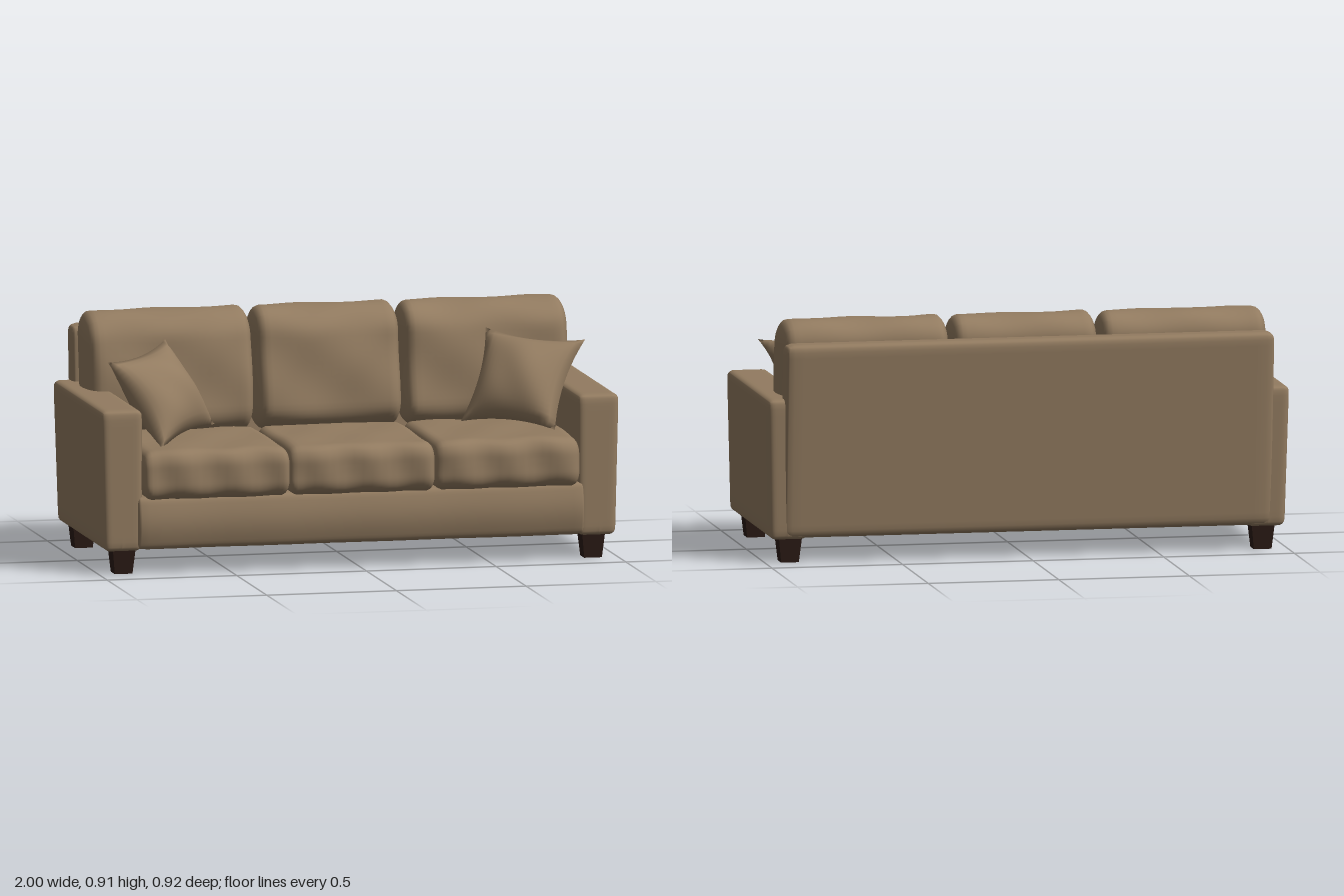
import * as THREE from 'three';
import { mergeVertices } from 'three/addons/utils/BufferGeometryUtils.js';

const fabric = new THREE.MeshStandardMaterial({ color: 0x927b60 });
fabric.name = 'tan fabric';
const wood = new THREE.MeshStandardMaterial({ color: 0x2b1b15 });
wood.name = 'dark wood';

// Move every vertex by a rule, then weld and smooth.
function reshape(geo, rule) {
  geo.deleteAttribute('uv');
  geo.deleteAttribute('normal');
  const pos = geo.attributes.position;
  const p = new THREE.Vector3();
  for (let i = 0; i < pos.count; i++) {
    rule(p.fromBufferAttribute(pos, i));
    pos.setXYZ(i, p.x, p.y, p.z);
  }
  const out = mergeVertices(geo, 1e-5);
  out.computeVertexNormals();
  return out;
}

// Box with elliptical rounded edges; vertices cluster toward the edges.
function softBox(size, radius, seg, rule = () => {}) {
  return reshape(new THREE.BoxGeometry(2, 2, 2, seg, seg, seg), (p) => {
    const inner = new THREE.Vector3();
    const dir = new THREE.Vector3();
    ['x', 'y', 'z'].forEach((k, i) => {
      const half = size[i] / 2;
      const v = Math.sin((p[k] * Math.PI) / 2) * half;
      inner[k] = THREE.MathUtils.clamp(v, radius[i] - half, half - radius[i]);
      dir[k] = (v - inner[k]) / radius[i];
    });
    dir.normalize();
    p.set(inner.x + dir.x * radius[0], inner.y + dir.y * radius[1], inner.z + dir.z * radius[2]);
    rule(p);
  });
}

// Throw pillow spanned by four corners: top left, top right, bottom right, bottom left.
function pillow(corners, thick) {
  const [a, b, c, d] = corners.map((v) => new THREE.Vector3(...v));
  const right = b.clone().sub(a).add(c).sub(d);
  const up = a.clone().sub(d).add(b).sub(c);
  const normal = right.cross(up).normalize();
  return reshape(new THREE.BoxGeometry(2, 2, 2, 18, 18, 1), (p) => {
    const { x, y, z } = p;
    const s = x * (1 - 0.13 * (1 - y * y));
    const t = y * (1 - 0.13 * (1 - x * x));
    const puff = thick * Math.pow(Math.max(0, (1 - x * x) * (1 - y * y)), 0.6);
    const fold = 1 + 0.05 * Math.sin(5 * x + 3 * y);
    p.set(0, 0, 0)
      .addScaledVector(a, ((1 - s) * (1 + t)) / 4)
      .addScaledVector(b, ((1 + s) * (1 + t)) / 4)
      .addScaledVector(c, ((1 + s) * (1 - t)) / 4)
      .addScaledVector(d, ((1 - s) * (1 - t)) / 4)
      .addScaledVector(normal, Math.sign(z) * puff * fold);
  });
}

export function createModel() {
  const sofa = new THREE.Group();
  sofa.name = 'sofa';
  const add = (name, geo, mat, x = 0, y = 0, z = 0) => {
    const mesh = new THREE.Mesh(geo, mat);
    mesh.name = name;
    mesh.position.set(x, y, z);
    sofa.add(mesh);
    return mesh;
  };

  // Base with a slightly padded front rail
  add('base', softBox([1.72, 0.2, 0.8], [0.02, 0.02, 0.02], 20, (p) => {
    if (p.z > 0.3) p.z += 0.022 * Math.cos(p.y * 15) + 0.003 * Math.sin(p.x * 14);
  }), fabric, 0, 0.195, 0.01);

  // Slanted backrest
  add('backrest', softBox([1.87, 0.74, 0.105], [0.03, 0.03, 0.03], 24, (p) => {
    p.z -= 0.08 * p.y;
  }), fabric, 0, 0.465, -0.385);

  for (const side of [-1, 1]) {
    // Arms, narrowing a little toward the floor
    add(side > 0 ? 'leftArm' : 'rightArm',
      softBox([0.16, 0.535, 0.83], [0.025, 0.025, 0.025], 18, (p) => {
        const low = 0.5 - p.y / 0.535;
        if (p.x * side > 0) p.x -= side * 0.013 * low;
        p.z += p.z < 0 ? 0.025 * low : 0.003;
      }), fabric, side * 0.919, 0.3575, -0.012);

    // Tapered square legs
    for (const z of [0.33, -0.333]) {
      const leg = new THREE.CylinderGeometry(0.063, 0.048, 0.1, 4, 1).rotateY(Math.PI / 4).toNonIndexed();
      leg.computeVertexNormals();
      add('leg', leg, wood, side * 0.905, 0.05, z);
    }
  }

  for (const i of [-1, 0, 1]) {
    // Seat cushions: crowned top, bulging creased front
    add('seatCushion', softBox([0.565, 0.185, 0.6], [0.035, 0.06, 0.05], 26, (p) => {
      const crown = Math.cos(p.x * 5) * Math.cos(p.z * 4);
      const wave = Math.sin(p.x * 21 + i * 2) * Math.sin(p.z * 13 + i);
      if (p.y > 0) p.y += 0.008 * crown + 0.004 * wave;
      if (p.z > 0.2) p.z += 0.007 * Math.sin(p.x * 32 + p.y * 12 + i);
    }), fabric, i * 0.56, 0.376, 0.152);

    // Back cushions: leaning, rounded on top, softly wrinkled
    const w = i ? 0.65 : 0.57;
    add('backCushion', softBox([w, 0.46, 0.25], [0.045, 0.1, 0.12], 28, (p) => {
      const fold = Math.sin(p.x * 13 + p.y * 17 + i * 2) + 0.5 * Math.sin(p.x * 24 - p.y * 19);
      const lump = Math.sin(p.x * 18 + i) * Math.sin(p.z * 20);
      if (p.z > 0) p.z += 0.006 * fold + 0.012 * Math.cos(p.x * 5) * Math.cos(p.y * 6);
      if (p.y > 0.1) p.y += 0.005 * lump;
      p.z -= 0.14 * p.y;
    }), fabric, i * 0.608, 0.677, -0.225);
  }

  // Throw pillows leaning in the two corners
  add('rightPillow', pillow([
    [-0.93, 0.78, 0.2], [-0.64, 0.815, -0.09], [-0.47, 0.5, 0.0], [-0.75, 0.46, 0.33],
  ], 0.1), fabric);
  add('leftPillow', pillow([
    [0.6, 0.815, -0.11], [0.94, 0.785, 0.08], [0.78, 0.475, 0.27], [0.47, 0.485, 0.04],
  ], 0.1), fabric);

  return sofa;
}
